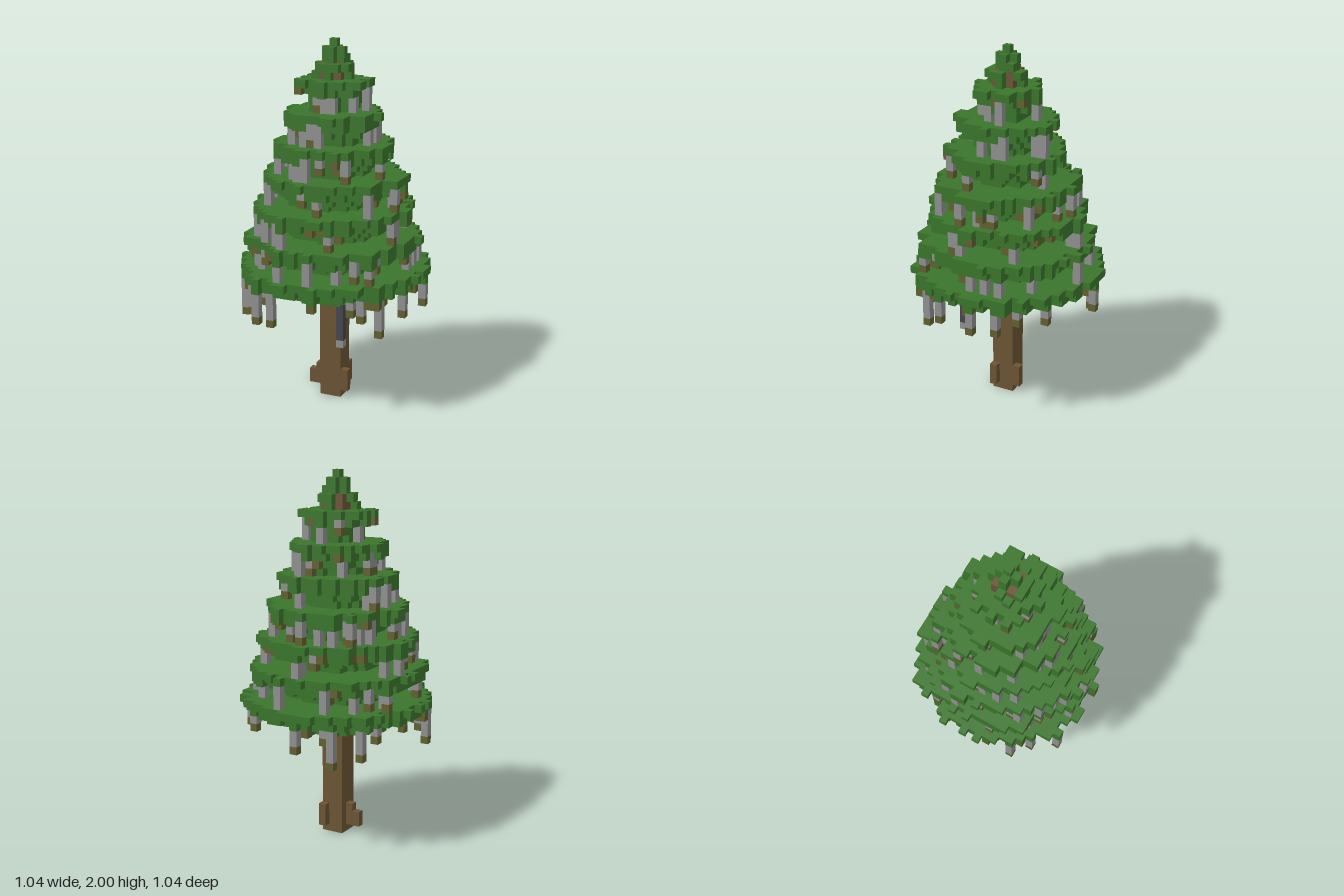
import * as THREE from 'three';

const V = 1 / 24; // edge of one block
const mat = (name, color) => {
  const m = new THREE.MeshStandardMaterial({ color });
  m.name = name;
  return m;
};

// repeatable noise in 0..1 for a block position
const noise = (x, y, z) => {
  let h = Math.imul(x + 57, 374761393) ^ Math.imul(y + 91, 668265263) ^ Math.imul(z + 33, 1274126177);
  h = Math.imul(h ^ (h >>> 15), 2246822519);
  h = Math.imul(h ^ (h >>> 13), 3266489917);
  return ((h ^ (h >>> 16)) >>> 0) / 4294967296;
};

// the six faces of a block: normal, then two edge directions with u x v = normal
const FACES = [
  [[1, 0, 0], [0, 1, 0], [0, 0, 1]], [[-1, 0, 0], [0, 0, 1], [0, 1, 0]],
  [[0, 1, 0], [0, 0, 1], [1, 0, 0]], [[0, -1, 0], [1, 0, 0], [0, 0, 1]],
  [[0, 0, 1], [1, 0, 0], [0, 1, 0]], [[0, 0, -1], [0, 1, 0], [1, 0, 0]],
];
const CORNERS = [[-1, -1], [1, -1], [1, 1], [-1, -1], [1, 1], [-1, 1]];

// first and last block of each z row of the lowest tier, from back to front
const LOWEST_ROWS = [
  [-3, 1], [-5, 4], [-7, 6], [-9, 8], [-9, 8], [-10, 10], [-9, 9], [-10, 11], [-11, 11],
  [-12, 11], [-11, 12], [-11, 12], [-12, 12], [-11, 11], [-12, 12], [-11, 11], [-11, 11],
  [-10, 10], [-10, 10], [-9, 9], [-8, 9], [-7, 7], [-7, 7], [-4, 4], [-3, -2],
];
const TIER_RADII = [12, 11.2, 10.2, 9.2, 7.6, 6.3, 4.3];

export function createModel() {
  const green = mat('needles', 0x3a752b);
  const bark = mat('bark', 0x6b5434);
  const core = mat('heartwood', 0x6d5337);
  const grey = mat('grey moss', 0x909090);
  const olive = mat('moss tips', 0x626030);
  const dark = mat('dark strand', 0x464650);

  const taken = new Set();
  const parts = new Map();
  const key = (x, y, z) => `${x},${y},${z}`;
  const has = (x, y, z) => taken.has(key(x, y, z));
  function put(name, material, x, y, z) {
    if (has(x, y, z)) return;
    taken.add(key(x, y, z));
    if (!parts.has(name)) parts.set(name, { material, blocks: [] });
    parts.get(name).blocks.push([x, y, z]);
  }
  function fill(name, material, [x0, x1], [y0, y1], [z0, z1]) {
    for (let x = x0; x <= x1; x++)
      for (let y = y0; y <= y1; y++)
        for (let z = z0; z <= z1; z++) put(name, material, x, y, z);
  }
  function eachColumn(visit) {
    for (let x = -12; x <= 12; x++) for (let z = -12; z <= 12; z++) visit(x, z);
  }
  const disc = (name, y, test) =>
    eachColumn((x, z) => { if (test(x, z)) put(name, green, x, y, z); });
  // a strand hanging down from row y, ending in an olive tip
  function strand(x, y, z, length) {
    for (let i = 1; i <= length; i++) {
      if (has(x, y - i, z)) return;
      const tip = i === length;
      put(tip ? 'mossTips' : 'hangingMoss', tip ? olive : grey, x, y - i, z);
    }
  }

  // trunk, roots and the wood showing near the top
  fill('trunk', bark, [-1, 1], [0, 40], [-1, 1]);
  fill('topWood', core, [-1, 1], [41, 44], [-1, 1]);
  fill('leftRoot', bark, [2, 2], [1, 3], [1, 1]);
  fill('rightRoot', bark, [-2, -2], [1, 3], [0, 0]);
  fill('rightRoot', bark, [-3, -3], [1, 2], [0, 0]);
  fill('backRoot', bark, [1, 1], [1, 3], [-2, -2]);

  const ragged = (radius, spread, seed) => (x, z) =>
    Math.hypot(x, z) <= radius + 0.35 - spread * noise(x, seed, z);
  const lowest = (x, z) => {
    const [a, b] = LOWEST_ROWS[z + 12];
    return (x >= a && x <= b) || (z === 11 && x === -6) || (z === 12 && x === 2);
  };
  const tiers = TIER_RADII.map((r, k) => ({
    r, k, base: 15 + 4 * k, name: `branchTier${k + 1}`,
    edge: k ? ragged(r, 1.2, k) : lowest,
  }));

  // wide ragged top layer of each tier
  for (const t of tiers) disc(t.name, t.base + 3, t.edge);

  // long strands under the lowest tier: x, z, length
  for (const [x, z, n] of [
    [-10, 6, 5], [-8, 8, 4], [-6, 11, 4], [-5, -10, 5], [9, 7, 5], [12, -1, 3], [11, 4, 3],
    [-1, -12, 3], [-11, 3, 1], [-8, -8, 4], [-5, 9, 5], [-9, -6, 2], [7, 8, 3],
    [11, -4, 3], [7, -9, 2],
  ]) {
    put('branchTier1', green, x, 17, z);
    strand(x, 17, z, n);
  }

  // a dark strand near the front
  fill('darkStrand', dark, [3, 3], [10, 14], [5, 5]);
  put('darkStrandEnd', grey, 3, 9, 5);

  // shorter strands scattered along every tier edge
  for (const { r, k, base, name } of tiers)
    eachColumn((x, z) => {
      const rim = has(x, base + 3, z) && Math.hypot(x, z) > r - 1.4;
      if (!rim || noise(x, base + 200, z) > (k ? 0.36 : 0.13)) return;
      const length = 1 + Math.floor(noise(x, base + 300, z) * (k ? 5 : 2));
      const top = k && noise(x, base + 400, z) < 0.5 ? base + 3 : base + 2;
      if (top === base + 2) put(name, green, x, top, z);
      strand(x, top, z, length);
    });

  // lower layers of each tier, narrowing downwards
  for (const { r, k, base, name, edge } of tiers) {
    const inner = ragged(r, k ? 1.6 : 2.4, base + 50);
    disc(name, base, ragged(r * 0.52 + 0.6, 0.7, base));
    disc(name, base + 1, ragged(r * 0.74, 0.9, base));
    disc(name, base + 2, (x, z) => edge(x, z) && inner(x, z));
  }

  // treetop
  for (const [x, y, z] of [
    [2, 43, 0], [2, 44, 0], [-2, 44, 0], [-2, 43, 1], [0, 43, 2], [0, 44, 2], [0, 44, -2],
    [1, 44, -2], [1, 44, 2], [-1, 44, 2], [0, 43, -2], [2, 44, 1],
  ]) put('treetop', green, x, y, z);
  for (const [x, z] of [[0, 0], [1, 0], [-1, 0], [0, 1], [0, -1], [1, -1]])
    fill('treetop', green, [x, x], [45, x && z ? 45 : 46], [z, z]);
  put('treetop', green, 0, 47, 0);

  // one mesh per part, made of the exposed block faces
  const tree = new THREE.Group();
  tree.name = 'tree';
  for (const [name, { material, blocks }] of parts) {
    const pos = [];
    const nor = [];
    for (const [x, y, z] of blocks)
      for (const [n, u, v] of FACES) {
        if (has(x + n[0], y + n[1], z + n[2])) continue;
        const c = [x, y + 0.5, z];
        for (const [a, b] of CORNERS) {
          for (let i = 0; i < 3; i++) pos.push((c[i] + (n[i] + a * u[i] + b * v[i]) / 2) * V);
          nor.push(...n);
        }
      }
    if (!pos.length) continue;
    const geo = new THREE.BufferGeometry();
    geo.setAttribute('position', new THREE.Float32BufferAttribute(pos, 3));
    geo.setAttribute('normal', new THREE.Float32BufferAttribute(nor, 3));
    const mesh = new THREE.Mesh(geo, material);
    mesh.name = name;
    tree.add(mesh);
  }
  return tree;
}
